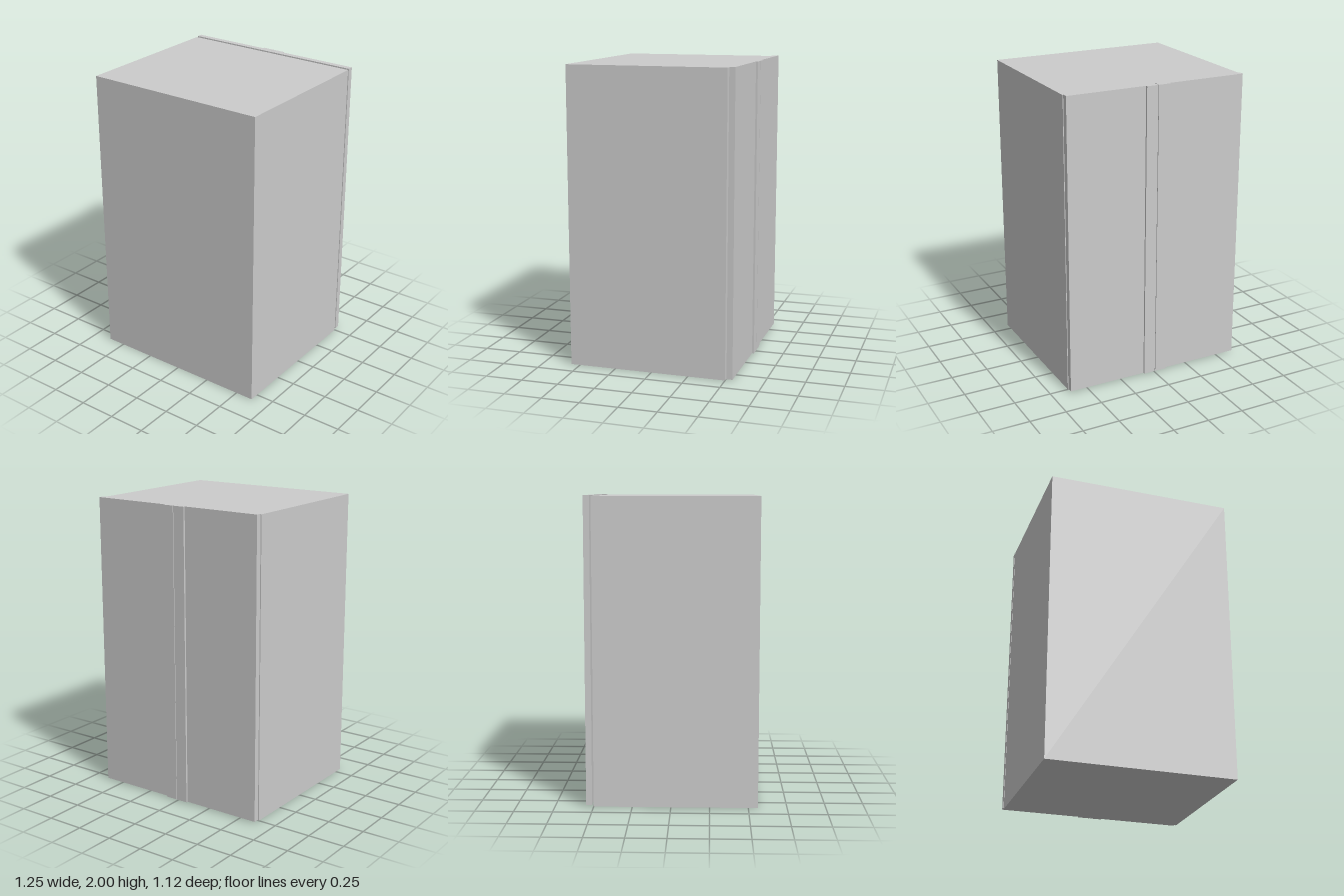
import * as THREE from 'three';

const HALF_WIDTH = 0.623;
const material = new THREE.MeshStandardMaterial({ color: 0xcccccc, flatShading: true });

// Door panel with a raised grip strip along its inner edge, extruded upwards
function makeDoor(side) {
  const gap = 0.002, grip = 0.082;
  const front = 0.51, panel = 0.549, raised = 0.562; // distances towards the back
  const profile = new THREE.Shape([
    [gap, front], [HALF_WIDTH, front], [HALF_WIDTH, panel],
    [grip, panel], [grip, raised], [gap, raised],
  ].map(([x, d]) => new THREE.Vector2(side * x, d)));
  const geometry = new THREE.ExtrudeGeometry(profile, { depth: 1.99, bevelEnabled: false });
  geometry.rotateX(-Math.PI / 2);
  const door = new THREE.Mesh(geometry, material);
  door.position.y = 0.01;
  door.name = side > 0 ? 'leftDoor' : 'rightDoor';
  return door;
}

export function createModel() {
  const model = new THREE.Group();
  model.name = 'cabinet';

  // Plain box body, set slightly apart from the doors
  const body = new THREE.Mesh(new THREE.BoxGeometry(2 * HALF_WIDTH, 1.995, 1.062), material);
  body.position.set(0, 1.995 / 2, 0.031);
  body.name = 'body';
  model.add(body);

  for (const side of [-1, 1]) model.add(makeDoor(side));
  return model;
}
